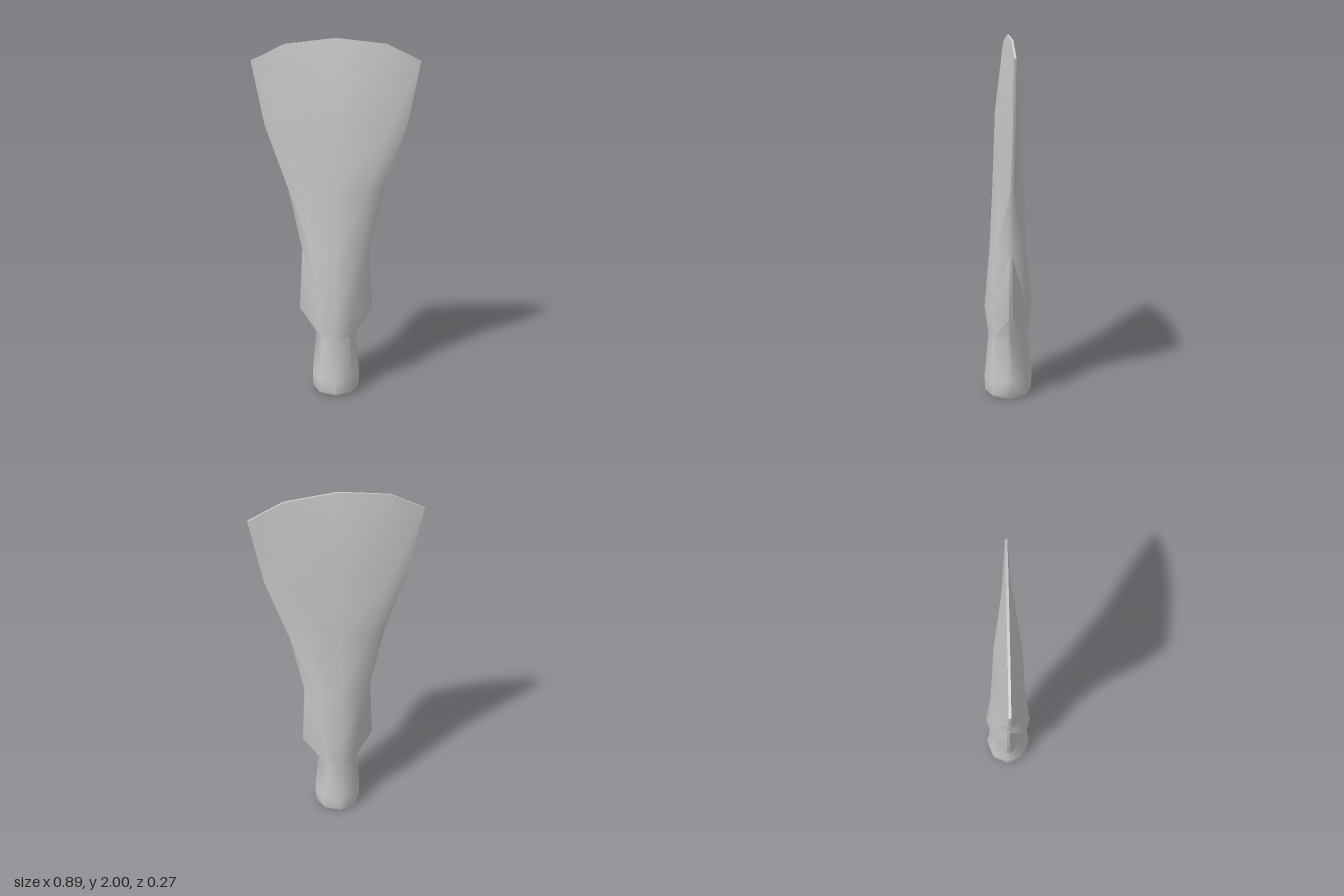
import * as THREE from 'three';
import { toCreasedNormals } from 'three/addons/utils/BufferGeometryUtils.js';

// Eight-sided socket section with a narrow facet on each side
const round = (r, y) => [[0, y, r], [r * 0.7, y, r * 0.72], [r, y, r * 0.09]];

// Each row is one quarter section: centre ridge, shoulder, side edge
const ROWS = [
  round(0.055, 0.2), round(0.06, 0), // socket bore, from its end to its mouth
  round(0.124, 0), round(0.133, 0.014), round(0.135, 0.1), round(0.112, 0.35), // socket and neck
  [[0, 0.51, 0.133], [0.09, 0.51, 0.1], [0.205, 0.5, 0.01]],
  [[0, 0.85, 0.103], [0.13, 0.85, 0.08], [0.187, 0.85, 0.008]],
  [[0, 1.2, 0.086], [0.165, 1.2, 0.065], [0.26, 1.2, 0.007]],
  [[0, 1.6, 0.071], [0.31, 1.57, 0.028], [0.38, 1.55, 0.006]],
  [[0, 2, 0.006], [0.265, 1.97, 0.006], [0.443, 1.885, 0.006]], // cutting edge
];

// Mirror a quarter section into a closed ring of ten points
function ring([c, m, e]) {
  const flipX = ([x, y, z]) => [-x, y, z];
  const front = [flipX(e), flipX(m), c, m, e];
  const back = front.map(([x, y, z]) => [x, y, -z]).reverse();
  return [...front, ...back];
}

function loft(rows) {
  const rings = rows.map(ring);
  const pos = [];
  const tri = (...pts) => pts.forEach((p) => pos.push(...p));

  // Skin, with diagonals fanning up and outwards
  for (let r = 0; r < rings.length - 1; r++) {
    for (let i = 0; i < 10; i++) {
      const j = (i + 1) % 10;
      const a = rings[r][i], b = rings[r][j];
      const c = rings[r + 1][j], d = rings[r + 1][i];
      if (Math.abs(a[0]) < Math.abs(b[0])) {
        tri(a, b, c);
        tri(a, c, d);
      } else {
        tri(a, b, d);
        tri(b, c, d);
      }
    }
  }

  // Close the bore end and the cutting edge
  const first = rings[0], last = rings[rings.length - 1];
  for (const [p, up] of [[first, false], [last, true]]) {
    for (let i = 0; i < 4; i++) {
      const a = p[i], b = p[i + 1], c = p[8 - i], d = p[9 - i];
      if (up) {
        tri(a, b, c);
        tri(a, c, d);
      } else {
        tri(a, c, b);
        tri(a, d, c);
      }
    }
  }

  const geometry = new THREE.BufferGeometry();
  geometry.setAttribute('position', new THREE.Float32BufferAttribute(pos, 3));
  return toCreasedNormals(geometry, 0.85);
}

export function createModel() {
  const group = new THREE.Group();
  group.name = 'flaredBlade';
  const material = new THREE.MeshStandardMaterial({ color: 0xcccccc });

  // Blade and socket are one continuous skin
  const head = new THREE.Mesh(loft(ROWS), material);
  head.name = 'bladeWithSocket';
  group.add(head);
  return group;
}
